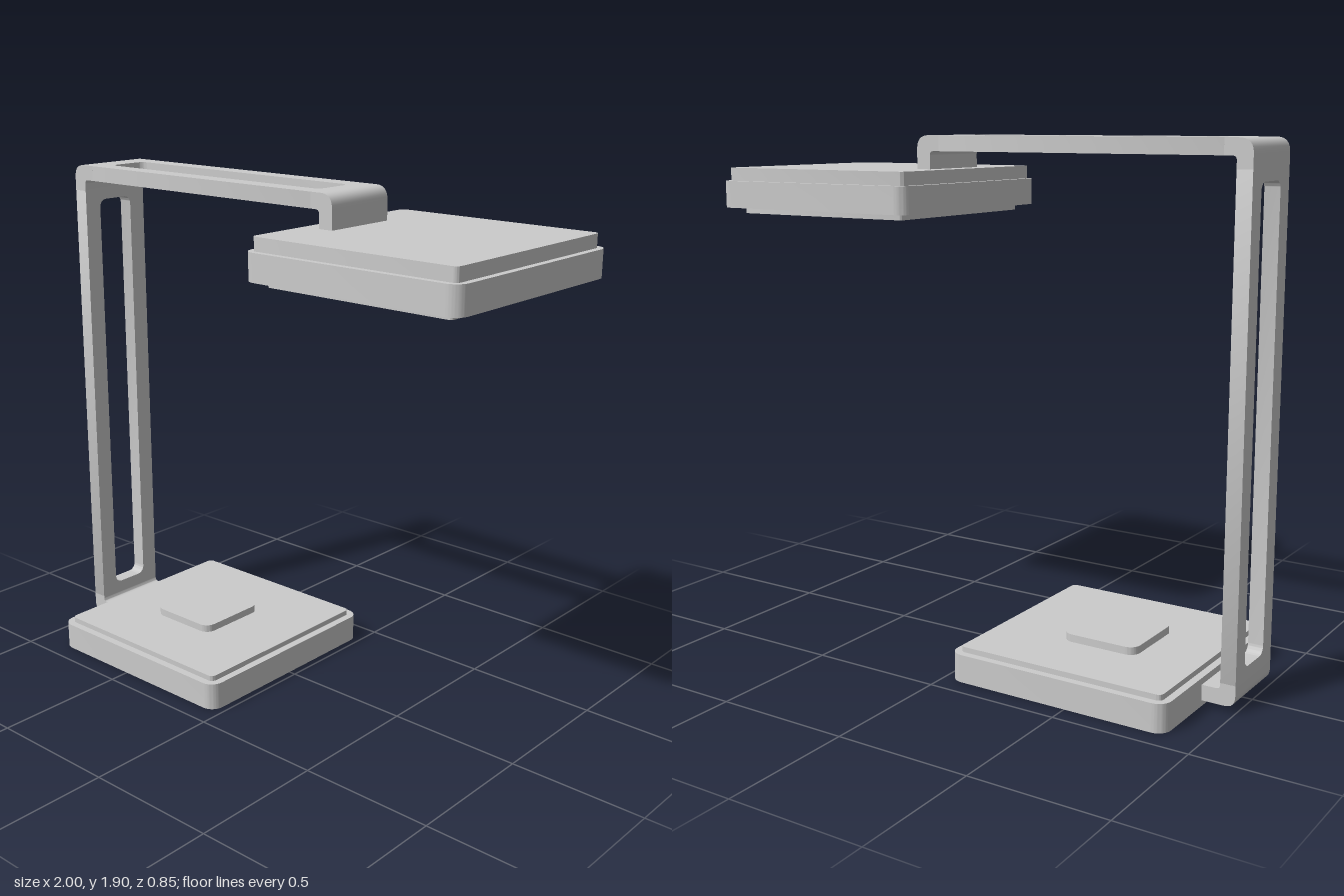
import * as THREE from 'three';
import { toCreasedNormals } from 'three/addons/utils/BufferGeometryUtils.js';

const material = new THREE.MeshStandardMaterial({ color: 0xcccccc });

// Rounded rectangle as a Shape or a hole Path
function roundedRect(x0, x1, y0, y1, r, Type = THREE.Shape) {
  const p = new Type();
  p.absarc(x1 - r, y0 + r, r, -Math.PI / 2, 0);
  p.absarc(x1 - r, y1 - r, r, 0, Math.PI / 2);
  p.absarc(x0 + r, y1 - r, r, Math.PI / 2, Math.PI);
  p.absarc(x0 + r, y0 + r, r, Math.PI, Math.PI * 1.5);
  p.closePath();
  return p;
}

function extrude(shape, depth) {
  return new THREE.ExtrudeGeometry(shape, { depth, bevelEnabled: false, curveSegments: 8 });
}

function addMesh(parent, name, geometry) {
  const mesh = new THREE.Mesh(toCreasedNormals(geometry, 0.6), material);
  mesh.name = name;
  parent.add(mesh);
}

// Flat block with rounded vertical edges
function addSlab(parent, name, [x0, x1], [y0, y1], halfZ, r) {
  const g = extrude(roundedRect(x0, x1, -halfZ, halfZ, r), y1 - y0);
  addMesh(parent, name, g.rotateX(-Math.PI / 2).translate(0, y0, 0));
}

// Bent strip section: a profile with [x, y, cornerRadius] points, swept across the arm width
function addBend(parent, name, points, halfZ) {
  const shape = new THREE.Shape();
  const n = points.length;
  points.forEach(([x, y, r = 0], i) => {
    const here = new THREE.Vector2(x, y);
    const toward = (p) => new THREE.Vector2(p[0], p[1]).sub(here).setLength(r).add(here);
    const a = r ? toward(points[(i + n - 1) % n]) : here;
    if (i === 0) shape.moveTo(a.x, a.y);
    else shape.lineTo(a.x, a.y);
    if (r) {
      const b = toward(points[(i + 1) % n]);
      shape.quadraticCurveTo(x, y, b.x, b.y);
    }
  });
  shape.closePath();
  addMesh(parent, name, extrude(shape, halfZ * 2).translate(0, 0, -halfZ));
}

export function createModel() {
  const model = new THREE.Group();
  model.name = 'deskLamp';

  // Base with raised deck and touch button
  const base = new THREE.Group();
  base.name = 'base';
  addSlab(base, 'baseBody', [-0.877, -0.027], [0, 0.102], 0.425, 0.05);
  addSlab(base, 'baseDeck', [-0.85, -0.056], [0.102, 0.122], 0.397, 0.02);
  addSlab(base, 'button', [-0.62, -0.328], [0.122, 0.15], 0.148, 0.04);
  model.add(base);

  // Lamp head with top cover and light panel
  const head = new THREE.Group();
  head.name = 'lampHead';
  addSlab(head, 'headBody', [0.147, 1], [1.632, 1.73], 0.425, 0.05);
  addSlab(head, 'headCover', [0.168, 0.976], [1.73, 1.778], 0.402, 0.02);
  addSlab(head, 'lightPanel', [0.203, 0.937], [1.61, 1.632], 0.367, 0.015);
  model.add(head);

  // Arm: two slotted plates joined by bent solid sections
  const arm = new THREE.Group();
  arm.name = 'arm';
  const w = 0.148, slot = 0.078, t = 0.056;
  const left = -1, right = 0.294, top = 1.898, bottom = 0.022;

  const post = roundedRect(-w, w, 0.1, 1.8, 0.0001);
  post.holes.push(roundedRect(-slot, slot, 0.14, 1.76, 0.03, THREE.Path));
  addMesh(arm, 'post', extrude(post, t).rotateY(Math.PI / 2).translate(left, 0, 0));

  const beam = roundedRect(-0.9, 0.2, -w, w, 0.0001);
  beam.holes.push(roundedRect(-0.865, 0.178, -slot, slot, 0.03, THREE.Path));
  addMesh(arm, 'beam', extrude(beam, t).rotateX(-Math.PI / 2).translate(0, top - t, 0));

  addBend(arm, 'foot', [
    [left, 0.1], [left, bottom, 0.04], [-0.86, bottom],
    [-0.86, bottom + t], [left + t, bottom + t, 0.015], [left + t, 0.1],
  ], w);
  addBend(arm, 'elbow', [
    [left, 1.8], [left + t, 1.8], [left + t, top - t, 0.015],
    [-0.9, top - t], [-0.9, top], [left, top, 0.05],
  ], w);
  addBend(arm, 'hanger', [
    [0.2, top], [0.2, top - t], [right - t, top - t, 0.015],
    [right - t, 1.77], [right, 1.77], [right, top, 0.05],
  ], w);
  model.add(arm);

  return model;
}
